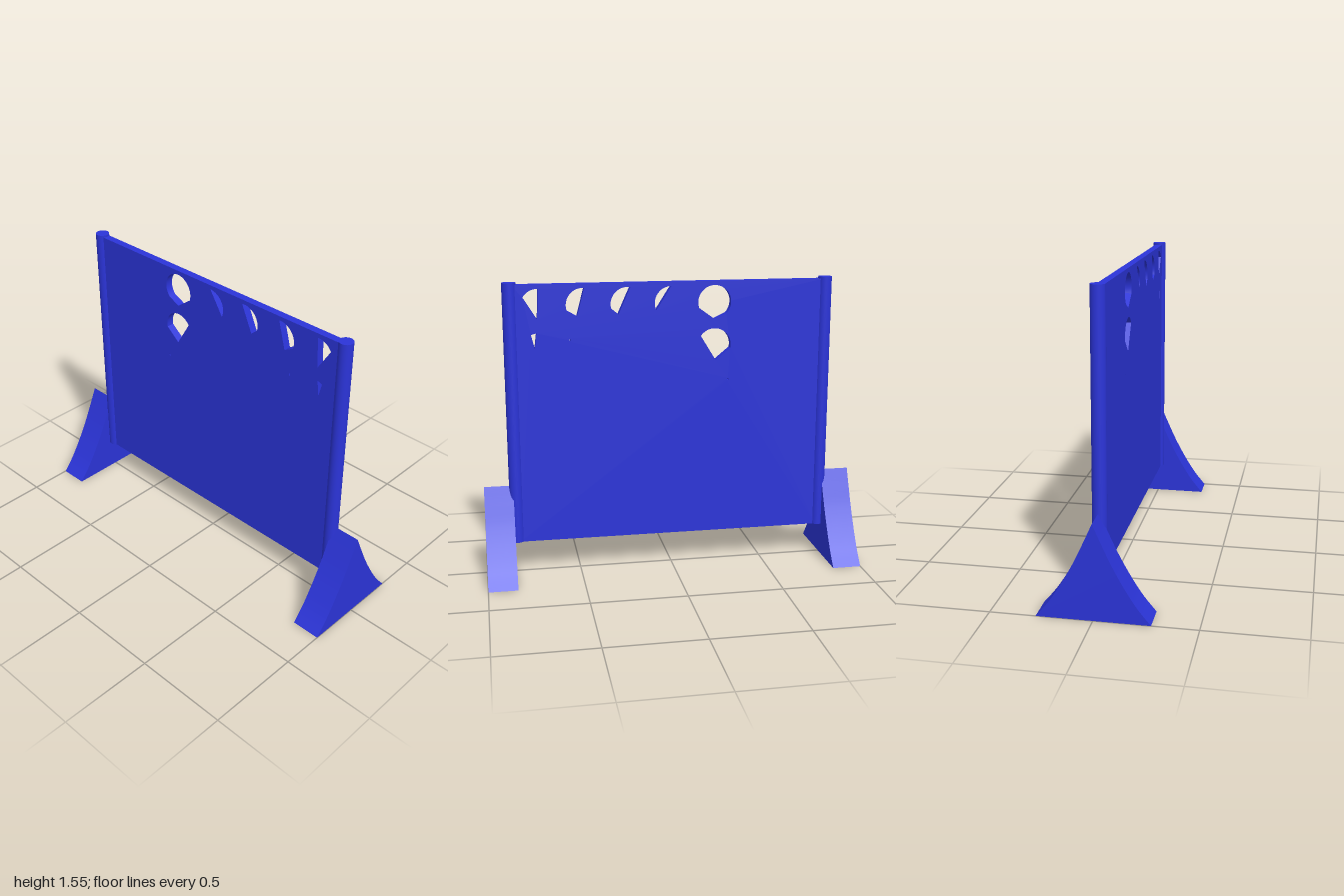
import * as THREE from 'three';
import { toCreasedNormals } from 'three/addons/utils/BufferGeometryUtils.js';

const HOLE_R = 0.088, PITCH = 0.23, BASE = 0.17;

// Each hole: column, row (from the top), arc start and end in degrees, then a corner offset closing the opening
const HOLES = [
  [-1, 0, -20, 224, 0, -0.09],
  [-1, 1, 34, 192, -0.008, -0.083],
  [-1, 2, 148, 156, -0.07, 0.034],
  [0, 0, -25, 90],
  [1, 0, -15, 100, 0.048, -0.054],
  [2, 0, -20, 95, 0.032, -0.059],
  [2, 1, 33, 41, 0.067, 0.038],
  [3, 0, 30, 92, 0.005, -0.07],
  [3, 1, 64, 83, 0.021, 0.008],
];

function holePath([col, row, from, to, dx, dy]) {
  const cx = col * PITCH, cy = 1.43 - row * 0.227;
  const steps = Math.max(2, Math.ceil((to - from) / 8));
  const points = [];
  for (let i = 0; i <= steps; i++) {
    const a = THREE.MathUtils.degToRad(from + (to - from) * i / steps);
    points.push(new THREE.Vector2(cx + HOLE_R * Math.cos(a), cy + HOLE_R * Math.sin(a)));
  }
  if (dx !== undefined) points.push(new THREE.Vector2(cx + dx, cy + dy));
  return new THREE.Path(points);
}

function extrude(shape, depth) {
  const g = new THREE.ExtrudeGeometry(shape, { depth, bevelEnabled: false, curveSegments: 12 });
  g.translate(0, 0, -depth / 2);
  return toCreasedNormals(g, 0.6);
}

export function createModel() {
  const model = new THREE.Group();
  const blue = new THREE.MeshStandardMaterial({ color: 0x2b34d8 });
  const add = (name, geometry, x = 0, y = 0) => {
    const mesh = new THREE.Mesh(geometry, blue);
    mesh.name = name;
    mesh.position.set(x, y, 0);
    model.add(mesh);
    return mesh;
  };

  // Upright panel with its openings
  const board = new THREE.Shape([[-0.82, BASE], [0.82, BASE], [0.82, 1.54], [-0.82, 1.54]]
    .map(([x, y]) => new THREE.Vector2(x, y)));
  board.holes = HOLES.map(holePath);
  add('panel', extrude(board, 0.04));

  // Foot profile: flat base, concave flanks meeting in a ridge
  const flank = [[0.275, 0], [0.21, 0.08], [0.148, 0.177], [0.09, 0.283], [0.04, 0.39]];
  const profile = new THREE.Shape();
  profile.moveTo(-0.275, 0);
  profile.lineTo(0.275, 0);
  profile.splineThru([...flank.slice(1), [0, 0.48]].map(([z, y]) => new THREE.Vector2(z, y)));
  profile.splineThru(flank.slice().reverse().map(([z, y]) => new THREE.Vector2(-z, y)));
  const footGeometry = extrude(profile, 0.153).rotateY(Math.PI / 2);

  // Round post and foot on each side
  const postGeometry = new THREE.CylinderGeometry(0.036, 0.036, 1.55 - BASE, 32);
  for (const [side, s] of [['left', 1], ['right', -1]]) {
    add(side + 'Post', postGeometry, s * 0.833, (1.55 + BASE) / 2);
    add(side + 'Foot', footGeometry, s * 0.9235);
  }
  return model;
}
